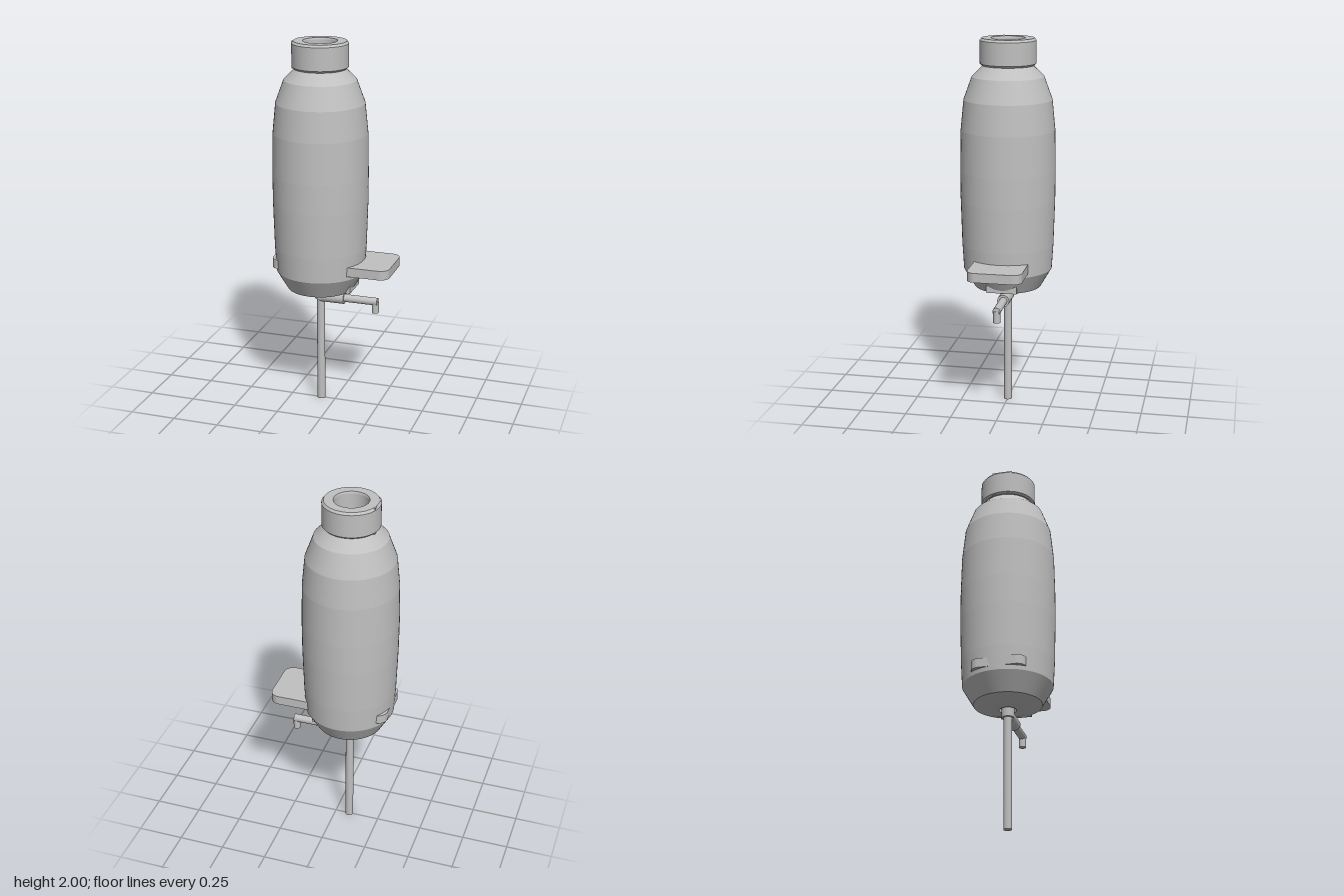
import * as THREE from 'three';
import { mergeGeometries } from 'three/addons/utils/BufferGeometryUtils.js';

export function createModel() {
  const model = new THREE.Group();
  const grey = new THREE.MeshStandardMaterial({ color: 0xc0c0c0 });
  grey.name = 'grey';
  const axisX = -0.08;

  function add(name, geometry, x, y, z = 0) {
    const mesh = new THREE.Mesh(geometry, grey);
    mesh.name = name;
    mesh.position.set(x, y, z);
    model.add(mesh);
    return mesh;
  }

  // Revolved profile whose bands meet at sharp edges but stay smooth around
  function turned(profile, segments = 64) {
    const bands = profile.slice(1).map((p, i) =>
      new THREE.LatheGeometry([new THREE.Vector2(...profile[i]), new THREE.Vector2(...p)], segments));
    return mergeGeometries(bands);
  }

  // Tank body
  add('body', turned([
    [0, 0.655], [0.045, 0.655], [0.045, 0.637], [0.1, 0.637], [0.18, 0.665], [0.238, 0.765],
    [0.246, 0.9], [0.253, 1.14], [0.254, 1.3], [0.25, 1.52], [0.234, 1.68],
    [0.19, 1.8], [0.14, 1.85], [0.125, 1.865], [0, 1.865],
  ]), axisX, 0);

  // Screw cap with a round well
  add('cap', turned([
    [0, 1.858], [0.138, 1.858], [0.148, 1.868], [0.148, 1.988], [0.138, 2],
    [0.09, 2], [0.087, 1.99], [0.087, 1.875], [0, 1.875],
  ]), axisX, 0);
  add('capKey', new THREE.BoxGeometry(0.03, 0.142, 0.108), -0.202, 1.9285);

  // Rounded plate passing through the body
  const x0 = -0.317, x1 = 0.331, w = 0.145, r = 0.05;
  const outline = new THREE.Shape();
  outline.moveTo(x0 + r, -w);
  outline.lineTo(x1 - r, -w);
  outline.absarc(x1 - r, -w + r, r, -Math.PI / 2, 0);
  outline.absarc(x1 - r, w - r, r, 0, Math.PI / 2);
  outline.absarc(x0 + r, w - r, r, Math.PI / 2, Math.PI);
  outline.absarc(x0 + r, -w + r, r, Math.PI, Math.PI * 1.5);
  const plate = new THREE.ExtrudeGeometry(outline, { depth: 0.05, bevelEnabled: false, curveSegments: 8 });
  plate.rotateX(-Math.PI / 2);
  add('mountingPlate', plate, 0, 0.788);
  add('plateBlock', new THREE.BoxGeometry(0.12, 0.03, 0.14), 0.17, 0.775);
  add('lowerBlock', new THREE.BoxGeometry(0.07, 0.04, 0.165), 0.075, 0.688);

  // Dip stem and its collar
  add('stem', new THREE.CylinderGeometry(0.022, 0.022, 0.635, 24), axisX, 0.3175);
  add('stemCollar', new THREE.CylinderGeometry(0.033, 0.033, 0.06, 24), axisX, 0.625);

  // Side pipe, sleeve and down-turned outlet
  function pipe(name, radius, from, to) {
    add(name, new THREE.CylinderGeometry(radius, radius, to - from, 24), (from + to) / 2, 0.608)
      .rotation.z = Math.PI / 2;
  }
  pipe('sleeve', 0.033, -0.08, 0.055);
  pipe('sidePipe', 0.021, 0.04, 0.24);
  add('outlet', new THREE.CylinderGeometry(0.019, 0.019, 0.063, 24), 0.228, 0.577);

  return model;
}
